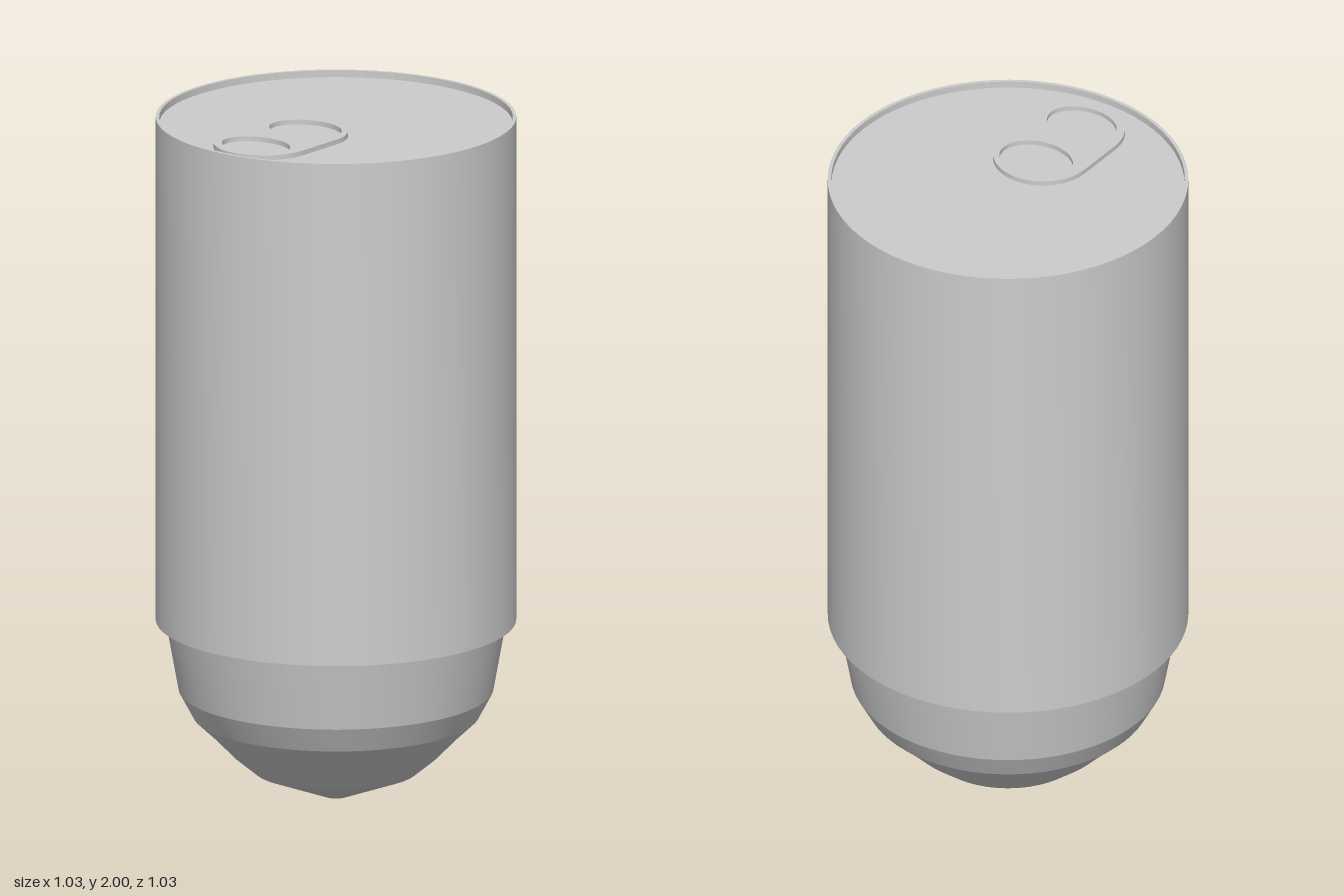
import * as THREE from 'three';
import { toCreasedNormals } from 'three/addons/utils/BufferGeometryUtils.js';

const metal = new THREE.MeshStandardMaterial({ color: 0xcccccc });
metal.name = 'light grey metal';

const LID_Y = 1.98;

function lathe(name, profile) {
  const points = profile.map(([r, y]) => new THREE.Vector2(r, y));
  const geometry = toCreasedNormals(new THREE.LatheGeometry(points, 72), 0.12);
  const mesh = new THREE.Mesh(geometry, metal);
  mesh.name = name;
  return mesh;
}

function ellipseHole(x, rx, rz) {
  const path = new THREE.Path();
  path.absellipse(x, 0, rx, rz, 0, Math.PI * 2, true);
  return path;
}

// Flat pull tab with rounded ends and two finger holes
function pullTab() {
  const shape = new THREE.Shape();
  const r = 0.143;
  shape.moveTo(-0.327, -r);
  shape.lineTo(-0.173, -r);
  shape.absarc(-0.173, 0, r, -Math.PI / 2, Math.PI / 2, false);
  shape.lineTo(-0.327, r);
  shape.absarc(-0.327, 0, r, Math.PI / 2, Math.PI * 1.5, false);
  shape.holes.push(ellipseHole(-0.362, 0.08, 0.107), ellipseHole(-0.138, 0.088, 0.112));
  const geometry = new THREE.ExtrudeGeometry(shape, { depth: 0.014, bevelEnabled: false, curveSegments: 32 });
  geometry.rotateX(-Math.PI / 2);
  const mesh = new THREE.Mesh(toCreasedNormals(geometry, 0.5), metal);
  mesh.name = 'pullTab';
  mesh.position.y = LID_Y;
  return mesh;
}

export function createModel() {
  const group = new THREE.Group();
  group.name = 'can';

  // Tapered, stepped base
  group.add(lathe('base', [
    [0, 0], [0.035, 0], [0.235, 0.078], [0.295, 0.128],
    [0.355, 0.19], [0.408, 0.24], [0.448, 0.315], [0.485, 0.52],
  ]));

  // Straight wall with the step underneath and the raised rim on top
  group.add(lathe('body', [
    [0.485, 0.52], [0.513, 0.52], [0.513, 2], [0.503, 2], [0.503, LID_Y],
  ]));

  // Sunken lid
  const lid = new THREE.Mesh(new THREE.CircleGeometry(0.503, 72).rotateX(-Math.PI / 2), metal);
  lid.name = 'lid';
  lid.position.y = LID_Y;
  group.add(lid, pullTab());

  return group;
}
